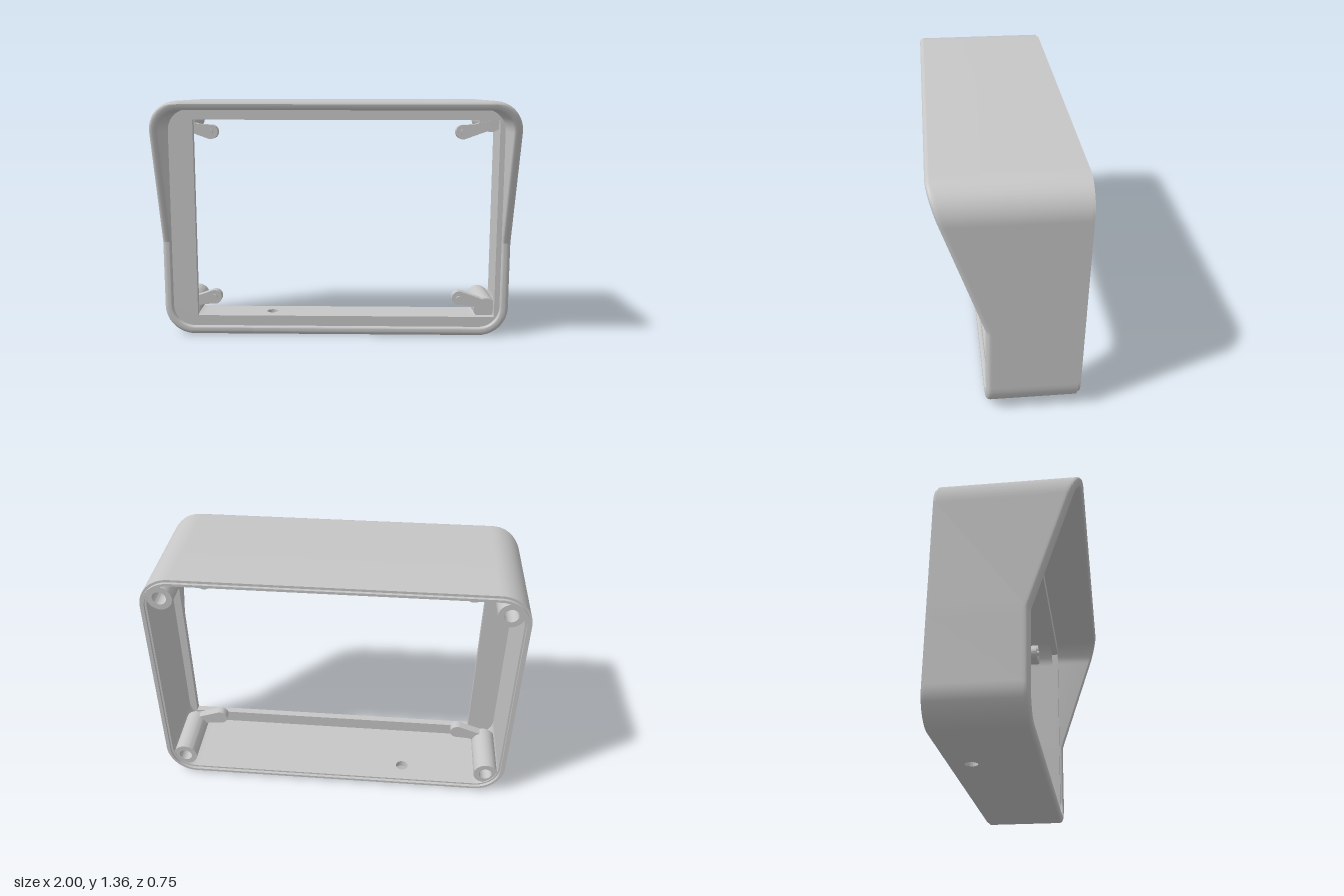
import * as THREE from 'three';
import { toCreasedNormals } from 'three/addons/utils/BufferGeometryUtils.js';

const H = 1.36, R = 0.17, BACK = -0.36;
const WALL = 0.037, RIM = 0.05;  // wall thickness behind and in front of the bezel
const BEZEL_BACK = 0.055, BEZEL_FRONT = 0.095;
const GAP = [-0.487, -0.327];    // stretch of the floor that carries the drain hole

// Front edge: upright below, leaning forward into a hood above
const frontZ = (y) => (y < 0.55 ? 0.115 : Math.min(0.375, 0.115 + (y - 0.55) * 0.329));

// Outline of the housing, anticlockwise from the front, as [x, y, nx, ny]
function outline() {
  const path = [[GAP[1], 0, 0, -1]];
  const corner = (cx, cy, start) => {
    // The extra point before and after each arc keeps the flat sides flat
    for (let i = -1; i <= 13; i++) {
      const a = start + (THREE.MathUtils.clamp(i, 0, 12) / 12) * Math.PI / 2;
      const c = Math.round(Math.cos(a) * 1e6) / 1e6, s = Math.round(Math.sin(a) * 1e6) / 1e6;
      const t = i < 0 ? -0.01 : i > 12 ? 0.01 : 0;
      path.push([cx + R * c - t * s, cy + R * s + t * c, c, s]);
    }
  };
  corner(1 - R, R, -Math.PI / 2);
  for (const y of [0.53, 0.55, 0.57]) path.push([1, y, 1, 0]);
  corner(1 - R, H - R, 0);
  corner(R - 1, H - R, Math.PI / 2);
  for (const y of [0.57, 0.55, 0.53]) path.push([-1, y, -1, 0]);
  corner(R - 1, R, Math.PI);
  path.push([GAP[0], 0, 0, -1]);
  return path;
}

// Sweep a closed profile of [inset, z, followsFront] along a path
function sweep(path, profile) {
  const pos = [], index = [], n = profile.length;
  for (const [x, y, nx, ny] of path) {
    for (const [inset, z, follows] of profile) {
      const py = y - ny * inset;
      pos.push(x - nx * inset, py, follows ? frontZ(py) + z : z);
    }
  }
  for (let i = 0; i < path.length - 1; i++) {
    for (let j = 0; j < n; j++) {
      const a = i * n + j, d = i * n + (j + 1) % n;
      index.push(a, a + n, d + n, a, d + n, d);
    }
  }
  const g = new THREE.BufferGeometry();
  g.setAttribute('position', new THREE.Float32BufferAttribute(pos, 3));
  g.setIndex(index);
  return toCreasedNormals(g, 0.3);
}

// Wall section with a rounded front edge, thinner behind the bezel
function wallProfile(back) {
  const points = [[0, back], [0, -0.035, true]];
  const fillet = (cx, r, from) => {
    for (let i = 0; i <= 6; i++) {
      const a = from - (i / 6) * Math.PI / 2;
      points.push([cx + r * Math.cos(a), r * Math.sin(a) - r, true]);
    }
  };
  fillet(0.025, 0.025, Math.PI);
  fillet(RIM - 0.012, 0.012, Math.PI / 2);
  points.push([RIM, BEZEL_BACK], [WALL, BEZEL_BACK], [WALL, back]);
  return points;
}

const circle = (x, y, r) => new THREE.Path().absarc(x, y, r, 0, Math.PI * 2, true);
const rect = (x0, y0, x1, y1, Type) =>
  new Type([[x0, y0], [x1, y0], [x1, y1], [x0, y1]].map((p) => new THREE.Vector2(...p)));

function extrude(shape, z0, z1) {
  const g = new THREE.ExtrudeGeometry(shape, { depth: z1 - z0, bevelEnabled: false, curveSegments: 24 });
  return toCreasedNormals(g.translate(0, 0, z0), 0.6);
}

export function createModel() {
  const group = new THREE.Group();
  const grey = new THREE.MeshStandardMaterial({ color: 0xc6c6c6 });
  grey.name = 'plain grey';
  const add = (name, geometry) => {
    const mesh = new THREE.Mesh(geometry, grey);
    mesh.name = name;
    group.add(mesh);
    return mesh;
  };

  // Housing wall, closed at the floor by a panel with the drain hole
  const path = outline();
  const gapPath = GAP.map((x) => [x, 0, 0, -1]);
  add('housingWall', sweep(path, wallProfile(BACK)));
  add('floorFrontEdge', sweep(gapPath, wallProfile(0)));
  const floor = rect(GAP[0], 0, GAP[1], -BACK, THREE.Shape);
  floor.holes.push(circle(-0.407, 0.25, 0.035));
  add('drainHolePanel', extrude(floor, 0, WALL).rotateX(-Math.PI / 2));

  // Raised sealing lip around the back rim
  add('backLip', sweep([...path, path[0]],
    [[0.013, BACK], [0.027, BACK], [0.027, -0.376], [0.013, -0.376]]));

  // Bezel with its off-centre window
  const bezel = new THREE.Shape(path.map(([x, y, nx, ny]) =>
    new THREE.Vector2(x - nx * RIM, y - ny * RIM)));
  bezel.holes.push(rect(-0.81, 0.11, 0.92, 1.25, THREE.Path));
  add('bezel', extrude(bezel, BEZEL_BACK, BEZEL_FRONT));

  // Corner screw bosses, each with a mounting tab and pin
  for (const sx of [-1, 1]) {
    for (const top of [false, true]) {
      const side = (sx > 0 ? 'left' : 'right') + (top ? 'Top' : 'Bottom');
      const fy = (y) => (top ? H - y : y);
      const bx = sx * 0.893, by = fy(0.117);

      const boss = new THREE.Shape().absarc(bx, by, 0.068, 0, Math.PI * 2, false);
      boss.holes.push(circle(bx, by, 0.037));
      add(side + 'Boss', extrude(boss, -0.355, -0.06));

      // Tab: round eye tapering out to the boss
      const points = [];
      for (let i = 0; i <= 16; i++) {
        const a = THREE.MathUtils.degToRad(70 + (i / 16) * 180);
        points.push([0.733 + 0.042 * Math.cos(a), 0.185 + 0.042 * Math.sin(a)]);
      }
      points.push([0.8, 0.14], [0.885, 0.115], [0.885, 0.175]);
      const tab = new THREE.Shape(points.map(([x, y]) => new THREE.Vector2(sx * x, fy(y))));
      add(side + 'Tab', extrude(tab, -0.085, -0.035));

      const pin = add(side + 'Pin', new THREE.CylinderGeometry(0.016, 0.016, 0.02, 16).rotateX(Math.PI / 2));
      pin.position.set(sx * 0.733, fy(0.185), -0.03);

      // Closed front end of the boss
      const cap = add(side + 'BossCap', new THREE.CylinderGeometry(0.068, 0.068, 0.02, 32).rotateX(Math.PI / 2));
      cap.position.set(bx, by, -0.05);
    }
  }
  return group;
}
